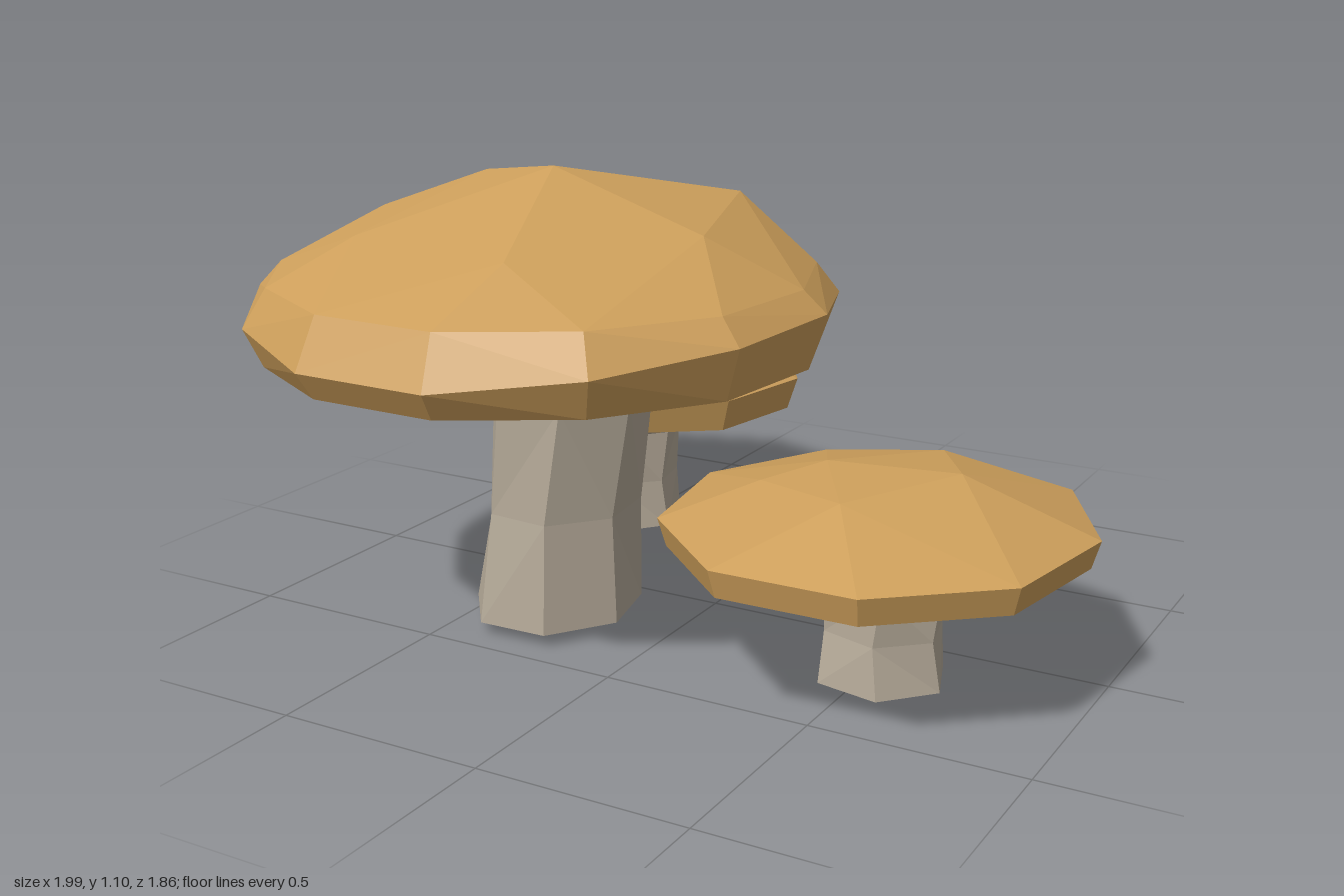
import * as THREE from 'three';
import { ConvexGeometry } from 'three/addons/geometries/ConvexGeometry.js';

const mat = (name, color, side) => {
  const m = new THREE.MeshStandardMaterial({ color, side, flatShading: true });
  m.name = name;
  return m;
};

function makeMesh(name, positions, material) {
  const g = new THREE.BufferGeometry();
  g.setAttribute('position', new THREE.Float32BufferAttribute(positions, 3));
  g.computeVertexNormals();
  const m = new THREE.Mesh(g, material);
  m.name = name;
  return m;
}

// Faceted cap: hull of rim rings [y, scale, dip], a few crown points and the underside centre.
// Faces that look nearly straight down become the gills.
function makeCap({ centre: [cx, cz], radius: [rx, rz], sides, phase, rings, crown, underY }, capMat, gillMat) {
  const pts = [new THREE.Vector3(cx, underY, cz)];
  for (const [y, scale, dip] of rings) {
    for (let i = 0; i < sides; i++) {
      const a = phase + (i / sides) * Math.PI * 2;
      const s = scale * (1 + 0.008 * Math.sin(i * 2.4));
      pts.push(new THREE.Vector3(
        cx + Math.cos(a) * rx * s, y - dip * Math.sin(a) ** 2, cz + Math.sin(a) * rz * s));
    }
  }
  for (const p of crown) pts.push(new THREE.Vector3(...p));
  const pos = new ConvexGeometry(pts).attributes.position;

  const top = [], under = [];
  const tri = new THREE.Triangle(), n = new THREE.Vector3();
  for (let i = 0; i < pos.count; i += 3) {
    tri.setFromAttributeAndIndices(pos, i, i + 1, i + 2).getNormal(n);
    const list = n.y < -0.8 ? under : top;
    for (const v of [tri.a, tri.b, tri.c]) list.push(v.x, v.y, v.z);
  }
  return [makeMesh('cap', top, capMat), makeMesh('gills', under, gillMat)];
}

// Stem outline shared by all mushrooms: height fraction, width, twist
const stemProfile = [[0, 1, 0.2], [0.4, 0.9, 0.3], [0.83, 0.95, 0.2], [1, 1.35, 0.3]];

// Faceted stem, open at the base, lofted through the profile and leaning from base to top
function makeStem({ base, top, width: [rx, rz], sides }, material) {
  const start = new THREE.Vector3(...base), end = new THREE.Vector3(...top);
  const loops = stemProfile.map(([t, scale, twist]) => {
    const c = start.clone().lerp(end, t);
    return Array.from({ length: sides }, (_, i) => {
      const a = (i / sides) * Math.PI * 2 + twist;
      return [c.x + Math.cos(a) * rx * scale, c.y, c.z + Math.sin(a) * rz * scale];
    });
  });
  const out = [];
  const face = (...corners) => corners.forEach((p) => out.push(...p));
  for (let r = 0; r < loops.length - 1; r++) {
    for (let i = 0; i < sides; i++) {
      const j = (i + 1) % sides;
      const a = loops[r][i], b = loops[r][j], c = loops[r + 1][i], d = loops[r + 1][j];
      if (i % 2) face(a, c, b, b, c, d);
      else face(a, c, d, a, d, b);
    }
  }
  return makeMesh('stem', out, material);
}

const largeMushroom = {
  cap: {
    centre: [-0.318, 0.24], radius: [0.69, 0.705], sides: 13, phase: -0.12, underY: 0.645,
    rings: [[0.86, 0.92, 0], [0.81, 1, 0.07], [0.68, 0.94, 0]],
    crown: [
      [-0.31, 1.095, 0.21], [-0.55, 1.06, 0.14], [-0.01, 1.01, -0.14], [0.12, 0.98, 0.27],
      [-0.82, 0.96, 0.2], [-0.5, 1, -0.16], [-0.62, 0.96, 0.55], [-0.15, 0.96, 0.64],
    ],
  },
  stem: { base: [-0.31, 0.03, 0.24], top: [-0.27, 0.68, 0.2], width: [0.203, 0.218], sides: 7 },
};

const leftMushroom = {
  cap: {
    centre: [0.515, 0.185], radius: [0.487, 0.5], sides: 9, phase: -0.17, underY: 0.26,
    rings: [[0.375, 1, 0], [0.31, 0.96, 0]],
    crown: [
      [0.38, 0.48, 0.17], [0.69, 0.488, 0.14], [0.52, 0.47, 0.4], [0.55, 0.455, -0.1], [0.28, 0.455, 0.3],
    ],
  },
  stem: { base: [0.53, 0, 0.185], top: [0.53, 0.29, 0.165], width: [0.158, 0.15], sides: 6 },
};

const backMushroom = {
  cap: {
    centre: [-0.535, -0.51], radius: [0.472, 0.425], sides: 9, phase: -0.17, underY: 0.275,
    rings: [[0.43, 1, 0], [0.345, 0.94, 0]],
    crown: [[-0.46, 0.572, -0.63], [-0.52, 0.58, -0.33], [-0.74, 0.55, -0.48], [-0.32, 0.53, -0.45]],
  },
  stem: { base: [-0.53, 0, -0.465], top: [-0.53, 0.32, -0.48], width: [0.14, 0.15], sides: 6 },
};

export function createModel() {
  const model = new THREE.Group();
  model.name = 'mushroomCluster';
  const capMat = mat('tanCap', 0xcd9f5b, THREE.FrontSide);
  const paleMat = mat('paleFlesh', 0xb3a897, THREE.DoubleSide);
  for (const [name, spec] of Object.entries({ largeMushroom, leftMushroom, backMushroom })) {
    const group = new THREE.Group();
    group.name = name;
    group.add(...makeCap(spec.cap, capMat, paleMat), makeStem(spec.stem, paleMat));
    model.add(group);
  }
  return model;
}
